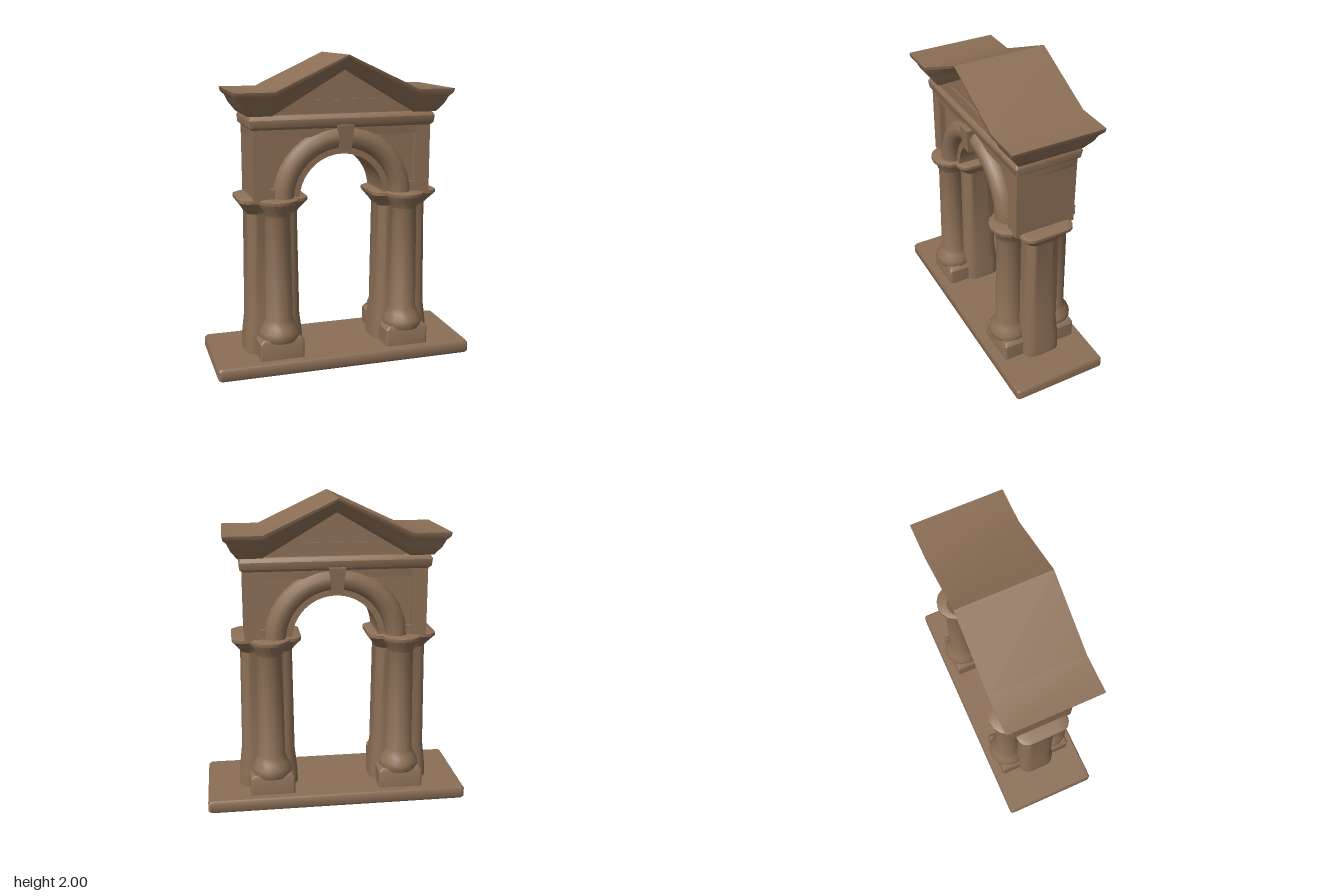
import * as THREE from 'three';
import { toCreasedNormals } from 'three/addons/utils/BufferGeometryUtils.js';

// Skin a list of equal, even-sized rings; each ring runs counter-clockwise about the travel direction.
function loft(rings) {
  const n = rings[0].length, index = [], last = (rings.length - 1) * n;
  const quad = (a, b, c, d) => index.push(a, b, c, a, c, d);
  for (let j = 0; j < rings.length - 1; j++)
    for (let k = 0; k < n; k++) {
      const a = j * n + k, b = j * n + (k + 1) % n;
      quad(a, b, b + n, a + n);
    }
  for (let k = 0; k < n / 2 - 1; k++) {
    quad(last + k, last + k + 1, last + n - 2 - k, last + n - 1 - k);
    quad(n - 1 - k, n - 2 - k, k + 1, k);
  }
  const g = new THREE.BufferGeometry();
  g.setAttribute('position', new THREE.Float32BufferAttribute(rings.flat(2), 3));
  g.setIndex(index);
  return toCreasedNormals(g, 0.65);
}

// Horizontal rounded rectangle at height y
function roundRect(y, hx, hz, r) {
  const ring = [], steps = 4;
  [[1, 1], [1, -1], [-1, -1], [-1, 1]].forEach(([sx, sz], c) => {
    for (let i = 0; i <= steps; i++) {
      const a = (c + i / steps) * Math.PI / 2;
      ring.push([sx * (hx - r) + r * Math.sin(a), y, sz * (hz - r) + r * Math.cos(a)]);
    }
  });
  return ring;
}
const stack = (levels, r) => loft(levels.map(([y, hx, hz]) => roundRect(y, hx, hz, r)));

const lathe = (points) =>
  toCreasedNormals(new THREE.LatheGeometry(points.map(([r, y]) => new THREE.Vector2(r, y)), 16), 0.65);

export function createModel() {
  const model = new THREE.Group();
  const stone = new THREE.MeshStandardMaterial({ color: 0x8c6f56 });
  stone.name = 'brownStone';

  const add = (name, geometry, x = 0, y = 0, z = 0) => {
    const mesh = new THREE.Mesh(geometry, stone);
    mesh.name = name;
    mesh.position.set(x, y, z);
    model.add(mesh);
    return mesh;
  };
  const box = (name, w, h, d, x, y, z) => add(name, new THREE.BoxGeometry(w, h, d), x, y, z);

  // Ground slab
  add('baseSlab', stack([[0, 0.84, 0.315], [0.01, 0.85, 0.32], [0.065, 0.85, 0.32], [0.08, 0.84, 0.312]], 0.02));

  // Piers with flared feet and capitals
  const pier = stack([
    [0.07, 0.195, 0.13], [0.18, 0.19, 0.13], [0.32, 0.175, 0.12], [1.01, 0.167, 0.115],
    [1.04, 0.185, 0.135], [1.09, 0.222, 0.175], [1.11, 0.222, 0.175], [1.12, 0.2, 0.16],
  ], 0.07);
  // Columns, their swelling bases and bell capitals
  const column = lathe([
    [0.12, 0.19], [0.132, 0.22], [0.128, 0.25], [0.105, 0.29], [0.088, 0.33], [0.08, 1.01],
    [0.092, 1.03], [0.098, 1.05], [0.128, 1.09], [0.128, 1.11], [0.1, 1.12], [0, 1.12],
  ]);
  const pedestal = stack([[0.07, 0.145, 0.095], [0.19, 0.145, 0.095], [0.215, 0.125, 0.085]], 0.015);
  for (const sx of [-1, 1]) {
    add('pier', pier, sx * 0.44);
    for (const sz of [-1, 1]) {
      add('column', column, sx * 0.425, 0, sz * 0.162);
      add('pedestal', pedestal, sx * 0.425, 0, sz * 0.165);
    }
    // Corner blocks frame the recessed spandrel panels
    box('cornerBlock', 0.1, 0.46, 0.4, sx * 0.53, 1.33, 0);
    box('panelLedge', 0.08, 0.07, 0.39, sx * 0.46, 1.145, 0);
  }

  // Wall with the arched opening
  const wall = new THREE.Shape();
  wall.moveTo(-0.57, 1.1);
  wall.lineTo(-0.28, 1.1);
  wall.absarc(0, 1.1, 0.28, Math.PI, 0, true);
  wall.lineTo(0.57, 1.1);
  wall.lineTo(0.57, 1.55);
  wall.lineTo(-0.57, 1.55);
  const wallGeometry = new THREE.ExtrudeGeometry(wall, { depth: 0.32, bevelEnabled: false, curveSegments: 16 });
  add('archWall', toCreasedNormals(wallGeometry, 0.65), 0, 0, -0.16);

  // Round arch mouldings and keystones, front and back
  for (const sz of [-1, 1]) {
    add('archMoulding', new THREE.TorusGeometry(0.39, 0.07, 10, 20, Math.PI), 0, 1.1, sz * 0.165);
    const key = new THREE.CylinderGeometry(0.072, 0.05, 0.16, 4, 1);
    key.rotateY(Math.PI / 4);
    const keystone = add('keystone', key.toNonIndexed(), 0, 1.49, sz * 0.205);
    keystone.geometry.computeVertexNormals();
  }

  // Moulded entablature
  add('entablature', stack([
    [1.5, 0.58, 0.197], [1.55, 0.583, 0.2], [1.565, 0.6, 0.215], [1.61, 0.605, 0.222],
    [1.63, 0.595, 0.212], [1.64, 0.585, 0.2], [1.67, 0.585, 0.2],
  ], 0.012));

  // Tympanum inside the gable
  const gable = new THREE.Shape([[-0.47, 1.64], [0.47, 1.64], [0, 1.95]].map(([x, y]) => new THREE.Vector2(x, y)));
  add('tympanum', new THREE.ExtrudeGeometry(gable, { depth: 0.41, bevelEnabled: false }), 0, 0, -0.205);
  box('tympanumLedge', 0.5, 0.025, 0.43, 0, 1.715, 0);

  // Cornice and roof: one profile running level, up over the gable and down, with mitred ends
  const profile = [[0.3, 1.785], [0.295, 1.76], [0.272, 1.735], [0.252, 1.69], [0.212, 1.635]];
  const section = (xOf, yOf) => {
    const front = profile.map(([z, y]) => [xOf(z), yOf(y), z]);
    const back = front.map(([x, y, z]) => [x, y, -z]).reverse();
    return [...front, ...back];
  };
  const level = (y) => y;
  const peak = (y) => 2 - (1.785 - y) * 0.62;
  add('corniceRoof', loft([
    section((z) => -z - 0.4, level),
    section(() => -0.46, level),
    section(() => 0, peak),
    section(() => 0.46, level),
    section((z) => z + 0.4, level),
  ]));

  return model;
}
